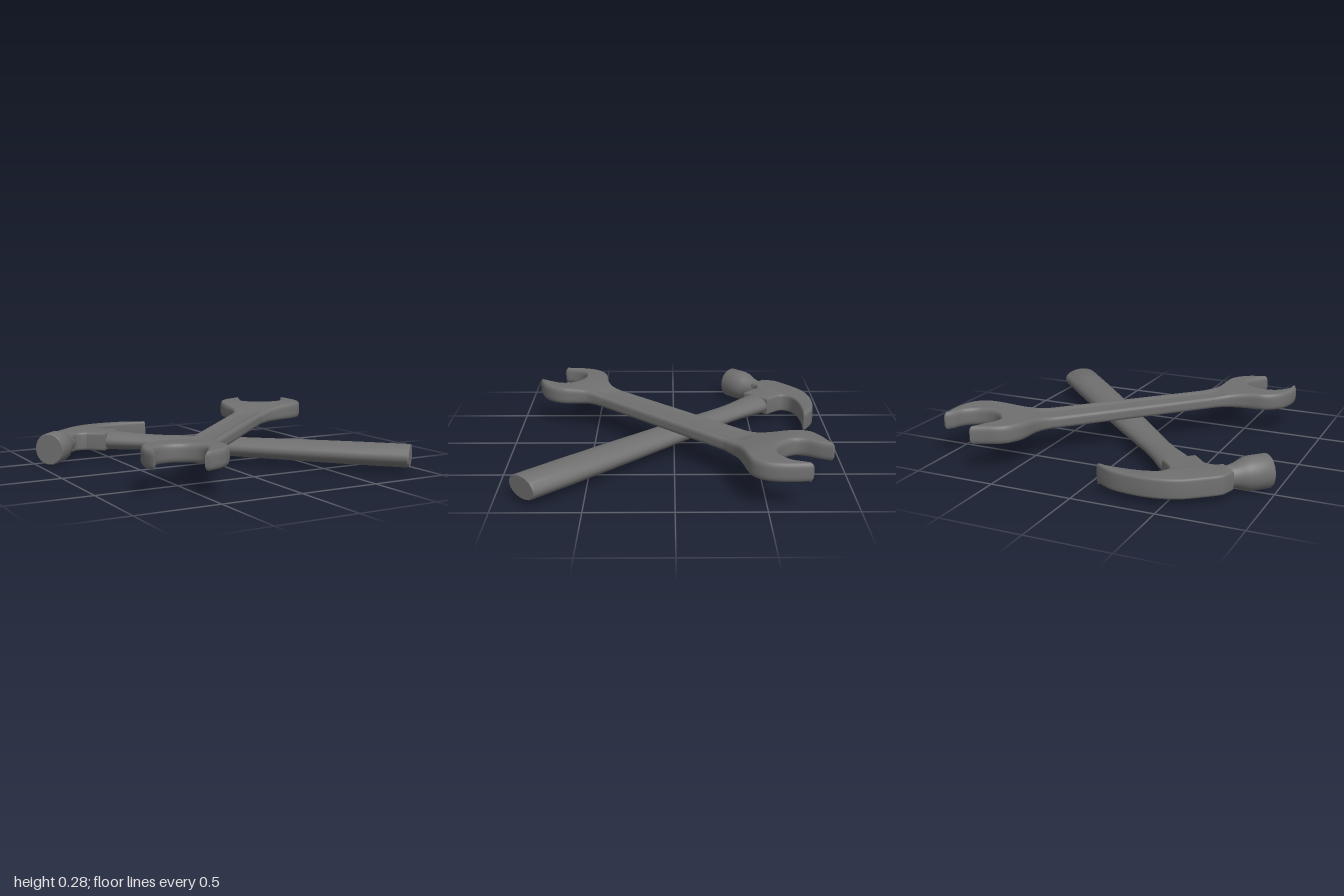
import * as THREE from 'three';
import { toCreasedNormals } from 'three/addons/utils/BufferGeometryUtils.js';

const material = new THREE.MeshStandardMaterial({ color: 0x707070 });

// Creasing welds at a fixed grid, so it is done at a larger scale.
function mesh(name, geometry, crease = 0.6) {
  const g = toCreasedNormals(geometry.scale(20, 20, 20), crease);
  const m = new THREE.Mesh(g.scale(0.05, 0.05, 0.05), material);
  m.name = name;
  return m;
}

// Turned part: profile of [radius, distance], flattened in height,
// laid along the ground line from [x, z] to [x, z].
function turned(profile, from, to, y, flatten) {
  const pts = profile.map(([r, s]) => new THREE.Vector2(r, s));
  const g = new THREE.LatheGeometry(pts, 40);
  g.scale(1, 1, flatten).rotateX(Math.PI / 2);
  g.rotateY(Math.atan2(to[0] - from[0], to[1] - from[1]));
  return g.translate(from[0], y, from[1]);
}

// Flat part: outline made of smooth runs of [x, z] points, with rounded rims.
function plate(runs, height, bevel, rim) {
  const shape = new THREE.Shape();
  runs.forEach((run, i) => {
    const pts = run.map(([x, z]) => new THREE.Vector2(x, -z));
    if (i === 0) shape.moveTo(pts[0].x, pts[0].y);
    else shape.lineTo(pts[0].x, pts[0].y);
    if (pts.length > 1) shape.splineThru(pts.slice(1));
  });
  const g = new THREE.ExtrudeGeometry(shape, {
    depth: height - 2 * rim, curveSegments: 3, bevelEnabled: true,
    bevelSize: bevel, bevelOffset: -bevel, bevelThickness: rim, bevelSegments: 4
  });
  return g.translate(0, 0, rim).rotateX(-Math.PI / 2);
}

// Halves the longest edge of each triangle until all are below the limit.
function subdivide(geometry, limit) {
  const p = geometry.attributes.position;
  const corner = i => new THREE.Vector3().fromBufferAttribute(p, i);
  const stack = [], points = [];
  for (let i = 0; i < p.count; i += 3) stack.push([corner(i), corner(i + 1), corner(i + 2)]);
  while (stack.length) {
    const tri = stack.pop();
    const edges = tri.map((v, i) => v.distanceTo(tri[(i + 1) % 3]));
    const longest = Math.max(...edges);
    if (longest <= limit) {
      points.push(...tri);
      continue;
    }
    const k = edges.indexOf(longest);
    const a = tri[k], b = tri[(k + 1) % 3], c = tri[(k + 2) % 3];
    const mid = new THREE.Vector3().addVectors(a, b).multiplyScalar(0.5);
    stack.push([a, mid, c], [mid, b, c]);
  }
  return new THREE.BufferGeometry().setFromPoints(points);
}

function createHammer() {
  const hammer = new THREE.Group();
  hammer.name = 'hammer';

  // Handle with a narrow neck and a wide grip
  const handle = [[0, 0], [0.11, 0], [0.117, 0.008], [0.116, 0.3], [0.112, 0.6], [0.105, 0.9],
    [0.098, 1.2], [0.09, 1.42], [0.083, 1.6], [0.085, 1.72], [0.095, 1.84], [0.099, 1.92],
    [0.095, 1.97], [0, 1.98]];
  hammer.add(mesh('hammerHandle', turned(handle, [0.89, 0.836], [-0.45, -0.55], 0.099, 0.59)));

  // Head body, socket and curved claw
  const head = plate([
    [[-0.08, -0.83], [-0.14, -0.87], [-0.23, -0.907], [-0.38, -0.92], [-0.5, -0.905], [-0.6, -0.865],
      [-0.7, -0.79], [-0.775, -0.725], [-0.795, -0.68], [-0.808, -0.63]],
    [[-0.72, -0.545], [-0.68, -0.577], [-0.62, -0.572]],
    [[-0.53, -0.48]],
    [[-0.385, -0.625]],
    [[-0.455, -0.7], [-0.468, -0.74], [-0.43, -0.79], [-0.33, -0.822], [-0.2, -0.83], [-0.085, -0.826]]
  ], 0.117, 0.012, 0.018);
  hammer.add(mesh('hammerHead', head.translate(0, 0.042, 0)));

  // Striking face and its neck, which fades into the head body
  const poll = [[0, 0], [0.088, 0], [0.095, 0.01], [0.095, 0.11], [0.091, 0.145], [0.08, 0.175],
    [0.068, 0.205], [0.061, 0.235], [0.057, 0.265], [0.053, 0.3], [0.04, 0.34], [0, 0.36]];
  hammer.add(mesh('hammerPoll', turned(poll, [-0.933, -0.407], [-0.7, -0.64], 0.1, 1.05), 0.8));
  return hammer;
}

function createWrench() {
  const outline = [
    // Large open jaw, outer left side, mouth and outer right side
    [[0.4, -0.44], [0.435, -0.49], [0.455, -0.56], [0.462, -0.69], [0.5, -0.78], [0.56, -0.83],
      [0.63, -0.86], [0.7, -0.892]],
    [[0.712, -0.88], [0.68, -0.805], [0.637, -0.73], [0.635, -0.67], [0.69, -0.6], [0.765, -0.565],
      [0.85, -0.575], [0.915, -0.625], [0.945, -0.69], [0.978, -0.738]],
    [[0.992, -0.73], [0.998, -0.64], [0.995, -0.55], [0.975, -0.475], [0.93, -0.42], [0.87, -0.393],
      [0.73, -0.367], [0.64, -0.34], [0.54, -0.28]],
    // Small open jaw, outer right side, mouth and outer left side
    [[-0.21, 0.47], [-0.28, 0.555], [-0.297, 0.63], [-0.307, 0.73], [-0.34, 0.8], [-0.41, 0.86],
      [-0.515, 0.896]],
    [[-0.533, 0.88], [-0.485, 0.81], [-0.45, 0.745], [-0.46, 0.68], [-0.52, 0.62], [-0.6, 0.595],
      [-0.67, 0.61], [-0.72, 0.66], [-0.752, 0.745]],
    [[-0.765, 0.752], [-0.775, 0.72], [-0.776, 0.64], [-0.75, 0.55], [-0.7, 0.488], [-0.63, 0.45],
      [-0.52, 0.435], [-0.42, 0.4], [-0.35, 0.34]]
  ];
  const { smoothstep, lerp } = THREE.MathUtils;
  const g = subdivide(plate(outline, 0.1, 0.018, 0.032), 0.022);
  const p = g.attributes.position;
  for (let i = 0; i < p.count; i++) {
    const u = (p.getX(i) - p.getZ(i)) / Math.SQRT2;
    const v = (p.getX(i) + p.getZ(i) - 0.11) / Math.SQRT2;
    // Thickness grows from the shaft to the jaws
    const t = u > 0 ? smoothstep(u, 0.56, 0.92) : smoothstep(-u, 0.46, 0.76);
    const low = lerp(0.164, u > 0 ? 0.168 : 0.153, t);
    const high = lerp(0.237, u > 0 ? 0.278 : 0.26, t);
    // Shallow channel along both faces of the shaft
    const channel = (1 - smoothstep(Math.abs(v), 0.042, 0.07))
      * (1 - smoothstep(Math.abs(u - 0.05), 0.56, 0.66));
    const side = (p.getY(i) / 0.1 - 0.5) * (1 - 0.25 * channel);
    p.setY(i, (low + high) / 2 + (high - low) * side);
  }
  return mesh('wrench', g, 0.8);
}

export function createModel() {
  const model = new THREE.Group();
  model.name = 'crossedTools';
  model.add(createHammer(), createWrench());
  return model;
}
